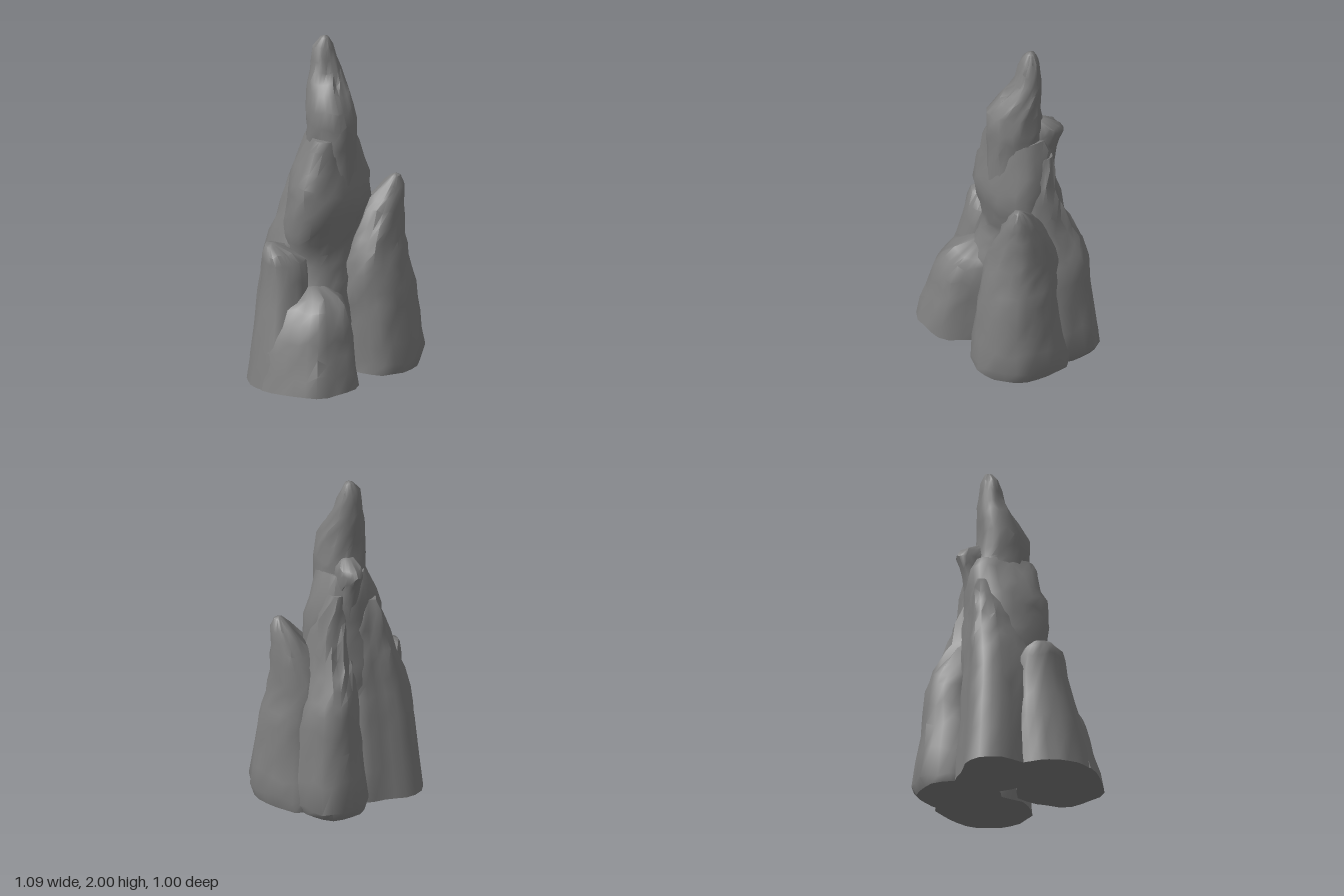
import * as THREE from 'three';
import { toCreasedNormals } from 'three/addons/utils/BufferGeometryUtils.js';

const SIDES = 24;
const CAP_LIFT = 0.012;
const rock = new THREE.MeshStandardMaterial({ color: 0x7d7d7d });

// Seeded random numbers for the chipped surface
function seeded(seed) {
  return () => {
    seed = (seed * 16807) % 2147483647;
    return seed / 2147483647;
  };
}

// Closed outline resampled and normalised to a 0..1 box
function unitOutline(points) {
  const curve = new THREE.CatmullRomCurve3(points.map(([x, z]) => new THREE.Vector3(x, 0, z)), true, 'centripetal');
  const ring = curve.getSpacedPoints(SIDES).slice(0, SIDES);
  const box = new THREE.Box3().setFromPoints(ring);
  const size = box.getSize(new THREE.Vector3());
  return ring.map(p => [(p.x - box.min.x) / size.x, (p.z - box.min.z) / size.z]);
}

// Rock column: the outline fitted to levels [y, xMin, xMax, zMin, zMax]
function column(name, outline, levels, seed) {
  const random = seeded(seed * 7919);
  const unit = unitOutline(outline);
  const rows = [];
  levels.forEach((level, k) => {
    rows.push(level);
    const next = levels[k + 1];
    if (next && next[0] - level[0] > 0.11) rows.push(level.map((v, i) => (v + next[i]) / 2));
  });

  const positions = [], index = [];
  rows.forEach(([y, x0, x1, z0, z1], k) => {
    const inner = k > 0 && k < rows.length - 1;
    const slack = inner ? Math.min(0.025, (rows[k + 1][0] - y) * 0.3, (y - rows[k - 1][0]) * 0.3) : 0;
    const cx = (x0 + x1) / 2, cz = (z0 + z1) / 2;
    unit.forEach(([u, v]) => {
      const push = 1 + (random() - 0.5) * 0.014 / Math.max(0.12, (x1 - x0) / 2);
      positions.push(
        cx + (u - 0.5) * (x1 - x0) * push,
        y + (random() - 0.5) * 2 * slack,
        cz + (v - 0.5) * (z1 - z0) * push);
    });
  });
  for (let k = 0; k < rows.length - 1; k++) {
    for (let i = 0; i < SIDES; i++) {
      const j = (i + 1) % SIDES;
      const a = k * SIDES + i, b = k * SIDES + j;
      index.push(a, b, b + SIDES, a, b + SIDES, a + SIDES);
    }
  }
  // Flat underside and slightly domed tip
  const bottom = positions.length / 3, top = bottom + 1, last = (rows.length - 1) * SIDES;
  [[rows[0], 0], [rows[rows.length - 1], CAP_LIFT]].forEach(([row, lift]) => {
    positions.push((row[1] + row[2]) / 2, row[0] + lift, (row[3] + row[4]) / 2);
  });
  for (let i = 0; i < SIDES; i++) {
    const j = (i + 1) % SIDES;
    index.push(bottom, j, i, top, last + i, last + j);
  }
  const geometry = new THREE.BufferGeometry();
  geometry.setAttribute('position', new THREE.Float32BufferAttribute(positions, 3));
  geometry.setIndex(index);
  const mesh = new THREE.Mesh(toCreasedNormals(geometry, 0.8), rock);
  mesh.name = name;
  return mesh;
}

export function createModel() {
  const group = new THREE.Group();
  group.name = 'rockFormation';
  const round = [[-1, 0], [-0.7, 0.65], [0, 1], [0.7, 0.7], [1, 0], [0.75, -0.7], [0, -1], [-0.7, -0.75]];

  // Leaning tip and waist of the central pinnacle
  group.add(column('pinnacleTip', round, [
    [1.15, -0.15, 0.17, -0.25, 0.12], [1.38, -0.14, 0.15, -0.22, 0.12], [1.5, -0.14, 0.15, -0.21, 0.125],
    [1.6, -0.145, 0.135, -0.2, 0.115], [1.68, -0.13, 0.115, -0.2, 0.05], [1.8, -0.1, 0.085, -0.2, -0.04],
    [1.93, -0.08, 0.045, -0.19, -0.085], [1.988, -0.035, 0.015, -0.165, -0.115]], 11));

  // Bulging middle of the pinnacle, flaring forward at its foot
  group.add(column('pinnacleBulge',
    [[-0.25, -0.1], [-0.25, 0.1], [-0.18, 0.17], [0, 0.15], [0.15, 0.07], [0.25, -0.06], [0.2, -0.2], [0.05, -0.28], [-0.15, -0.25]], [
      [0.3, -0.27, 0.15, -0.3, 0.26], [0.5, -0.26, 0.15, -0.3, 0.2], [0.62, -0.26, 0.18, -0.3, 0.145],
      [0.74, -0.27, 0.21, -0.3, 0.115], [0.87, -0.28, 0.24, -0.3, 0.14], [1.02, -0.26, 0.25, -0.28, 0.175],
      [1.15, -0.25, 0.24, -0.27, 0.16], [1.25, -0.215, 0.215, -0.27, 0.135], [1.35, -0.165, 0.18, -0.26, 0.125],
      [1.43, -0.13, 0.15, -0.23, 0.11]], 17));

  // Pointed side spire
  group.add(column('leftSpire',
    [[0.07, 0.12], [0.1, 0.16], [0.21, 0.25], [0.26, 0.265], [0.46, 0.18], [0.52, 0.08], [0.54, 0.02], [0.49, -0.19], [0.38, -0.32], [0.2, -0.3], [0.08, -0.1]], [
      [0, 0.07, 0.52, -0.31, 0.255], [0.07, 0.07, 0.54, -0.31, 0.255], [0.3, 0.055, 0.515, -0.27, 0.225],
      [0.5, 0.04, 0.49, -0.25, 0.2], [0.65, 0.06, 0.45, -0.25, 0.17], [0.78, 0.11, 0.435, -0.24, 0.135],
      [0.95, 0.19, 0.435, -0.17, 0.09], [1.08, 0.3, 0.43, -0.085, 0.055], [1.138, 0.35, 0.405, -0.03, 0.025]], 23));

  // Shorter blunt column, its top sloping toward the pinnacle
  group.add(column('rightColumn',
    [[-0.545, 0.1], [-0.5, 0.27], [-0.4, 0.33], [-0.2, 0.25], [-0.16, 0], [-0.3, -0.12], [-0.42, -0.11]], [
      [0, -0.545, -0.16, -0.12, 0.34], [0.3, -0.495, -0.16, -0.12, 0.28], [0.6, -0.445, -0.16, -0.1, 0.2],
      [0.71, -0.44, -0.18, -0.09, 0.175], [0.765, -0.435, -0.26, -0.07, 0.15], [0.8, -0.415, -0.34, -0.03, 0.08]], 37));

  // Low angular mound at the front
  group.add(column('frontMound',
    [[-0.5, 0.26], [-0.48, 0.3], [-0.27, 0.465], [-0.21, 0.495], [-0.11, 0.46], [0.03, 0.41], [0.07, 0.31], [0.06, 0.05], [-0.3, 0]], [
      [0, -0.51, 0.07, 0, 0.495], [0.2, -0.46, 0.06, 0, 0.44], [0.38, -0.41, 0.04, 0, 0.395],
      [0.47, -0.36, 0.02, 0, 0.35], [0.52, -0.3, -0.02, 0.02, 0.29], [0.565, -0.23, -0.1, 0.04, 0.19]], 41));

  // Two buttresses merging into the back of the pinnacle
  group.add(column('backRightButtress',
    [[-0.415, -0.12], [-0.35, 0.05], [-0.1, 0.05], [0.05, -0.1], [0, -0.35], [-0.15, -0.37], [-0.23, -0.395], [-0.3, -0.4], [-0.41, -0.29]], [
      [0, -0.42, 0.05, -0.405, 0.05], [0.4, -0.385, 0.05, -0.37, 0.05], [0.65, -0.355, 0.05, -0.345, 0.05],
      [0.85, -0.29, 0.05, -0.33, 0.05], [1.0, -0.24, 0.03, -0.305, 0], [1.17, -0.18, 0, -0.29, -0.04],
      [1.26, -0.14, -0.04, -0.265, -0.1]], 53));
  group.add(column('backLeftButtress',
    [[-0.05, -0.15], [0.1, 0], [0.35, -0.05], [0.4, -0.27], [0.37, -0.38], [0.33, -0.46], [0.28, -0.495], [0.12, -0.5], [-0.04, -0.35]], [
      [0, -0.05, 0.38, -0.48, 0], [0.05, -0.05, 0.4, -0.5, 0], [0.4, -0.02, 0.37, -0.455, 0],
      [0.65, 0, 0.34, -0.44, 0], [0.78, 0, 0.3, -0.39, 0], [0.95, 0, 0.26, -0.31, 0],
      [1.15, 0.01, 0.22, -0.27, -0.02], [1.32, 0.04, 0.15, -0.25, -0.1]], 67));

  // Small knob jutting from the back of the waist
  group.add(column('backKnob', [[-1, 0.6], [0, 1], [1, 0.6], [1, -0.4], [0.5, -1], [-0.4, -1], [-0.9, -0.6]], [
    [1.15, -0.03, 0.11, -0.26, -0.1], [1.33, -0.035, 0.1, -0.28, -0.1], [1.45, -0.04, 0.105, -0.32, -0.12],
    [1.49, -0.035, 0.1, -0.3, -0.12], [1.53, -0.01, 0.07, -0.23, -0.13]], 71));
  return group;
}
